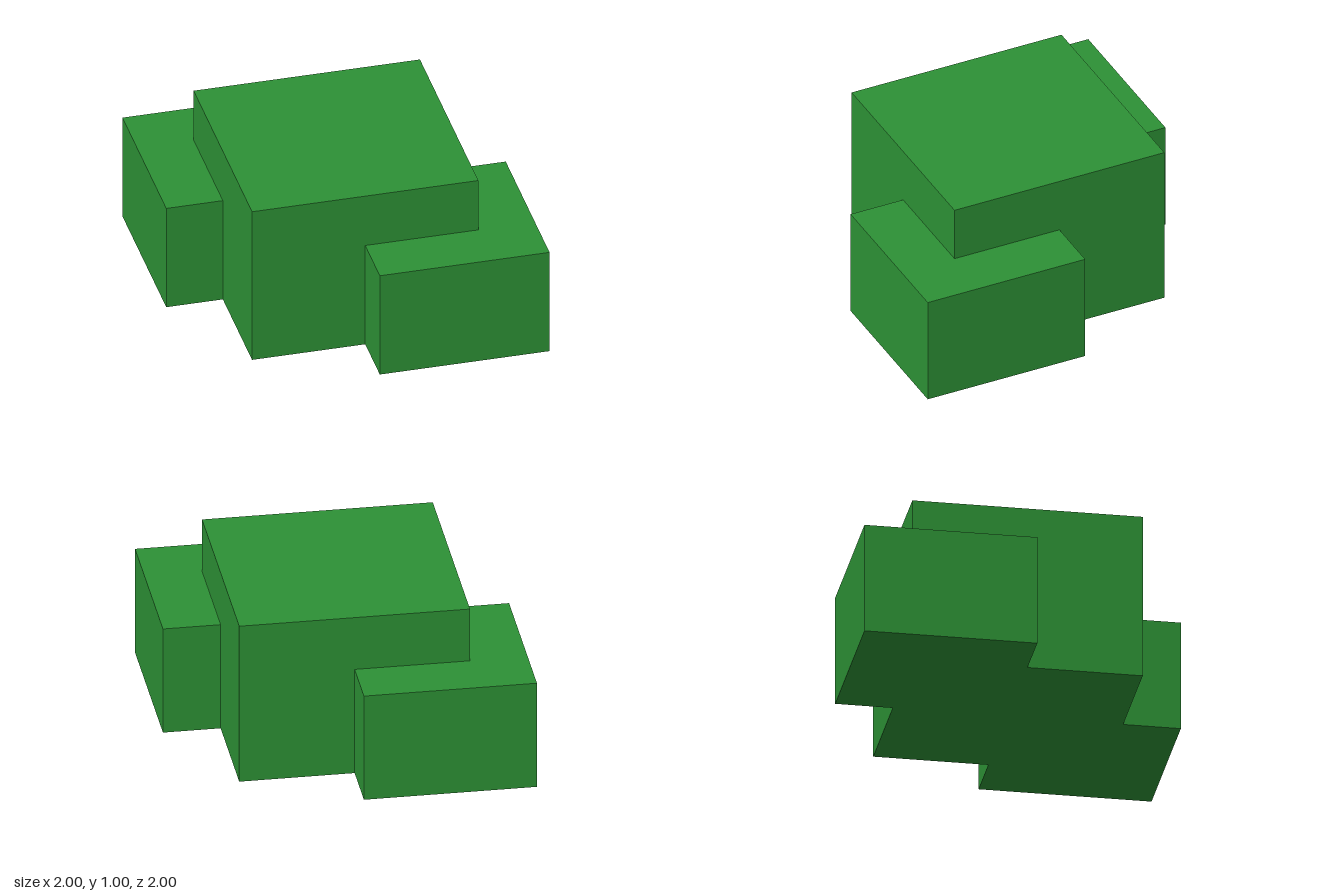
import * as THREE from 'three';

export function createModel() {
  const group = new THREE.Group();
  group.name = 'bush';
  const leafGreen = new THREE.MeshStandardMaterial({ color: 0x2d9135 });
  leafGreen.name = 'leaf green';

  // A square block standing on the ground
  const addBlock = (name, width, height, x, z) => {
    const mesh = new THREE.Mesh(new THREE.BoxGeometry(width, height, width), leafGreen);
    mesh.name = name;
    mesh.position.set(x, height / 2, z);
    group.add(mesh);
  };

  // Tall middle with a lower clump at two opposite corners
  addBlock('mainFoliage', 4 / 3, 1, 0, 0);
  addBlock('frontFoliage', 1, 2 / 3, 0.5, 0.5);
  addBlock('backFoliage', 1, 2 / 3, -0.5, -0.5);
  return group;
}
